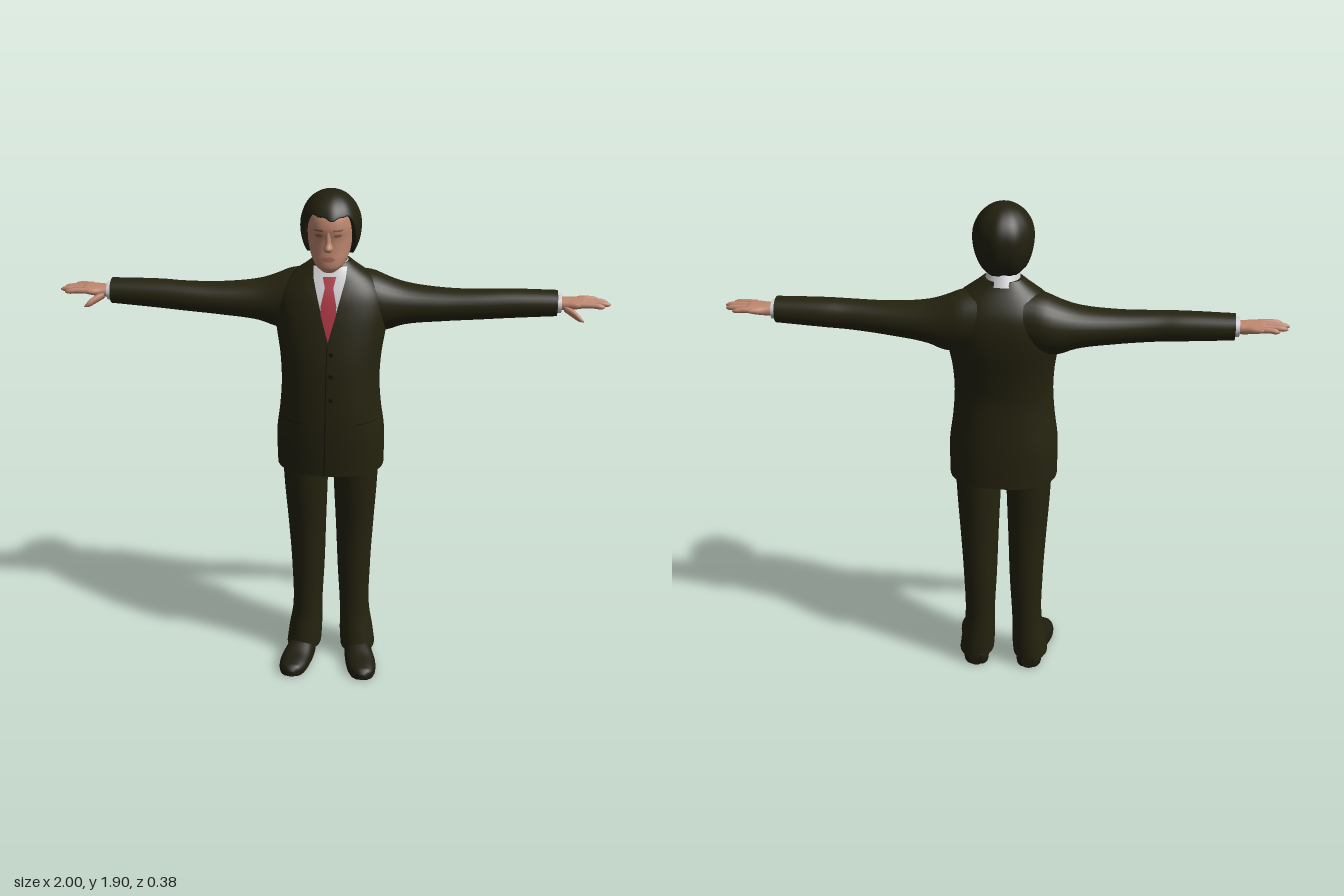
import * as THREE from 'three';

const mat = (name, color, side = THREE.FrontSide) => {
  const m = new THREE.MeshStandardMaterial({ color, side });
  m.name = name;
  return m;
};

// Smooth lookup in a table of rows [t, a, b, ra, rb]
function sampler(keys) {
  const size = keys[0].length - 1;
  const curve = new THREE.CubicInterpolant(
    new Float32Array(keys.map(k => k[0])), new Float32Array(keys.flatMap(k => k.slice(1))), size);
  return t => Array.from(curve.evaluate(t));
}

// Closed body of superellipse rings along an axis
function loft(axis, keys, { n = 2, rings = 24, sides = 28, caps = true } = {}) {
  const at = sampler(keys), t0 = keys[0][0], t1 = keys[keys.length - 1][0];
  const place = {
    y: (t, a, b) => [a, t, b],
    x: (t, a, b) => [t, b, a],
    z: (t, a, b) => [b, a, t],
  }[axis];
  const pos = [], idx = [];
  const pow = v => Math.sign(v) * Math.abs(v) ** (2 / n);
  const ring = i => {
    const t = t0 + (t1 - t0) * i / rings, [a, b, ra, rb] = at(t);
    for (let j = 0; j < sides; j++) {
      const q = j / sides * Math.PI * 2;
      pos.push(...place(t, a + ra * pow(Math.cos(q)), b + rb * pow(Math.sin(q))));
    }
    return [t, a, b];
  };
  for (let i = 0; i <= rings; i++) ring(i);
  for (let i = 0; i < rings; i++) for (let j = 0; j < sides; j++) {
    const k = (j + 1) % sides, p = i * sides, q = p + sides;
    idx.push(p + j, q + j, p + k, q + j, q + k, p + k);
  }
  if (caps) for (const i of [0, rings]) {
    const s = pos.length / 3, c = ring(i);
    pos.push(...place(...c));
    for (let j = 0; j < sides; j++) {
      const k = (j + 1) % sides;
      idx.push(s + sides, s + (i ? k : j), s + (i ? j : k));
    }
  }
  return build(pos, idx);
}

function build(pos, idx) {
  const g = new THREE.BufferGeometry();
  g.setAttribute('position', new THREE.Float32BufferAttribute(pos, 3));
  g.setIndex(idx);
  g.computeVertexNormals();
  return g;
}

// Thin plate laid on the front of a y loft; edges are rows [y, xLeft, xRight]
function patch(keys, n, edges, lift, rows = 16, cols = 8) {
  const at = sampler(keys), pos = [], idx = [];
  for (let i = 0; i <= rows; i++) {
    const f = i / rows * (edges.length - 1), e = Math.min(Math.floor(f), edges.length - 2);
    const [y, xl, xr] = edges[e].map((v, k) => THREE.MathUtils.lerp(v, edges[e + 1][k], f - e));
    const [a, b, ra, rb] = at(y);
    for (let j = 0; j <= cols; j++) {
      const x = THREE.MathUtils.lerp(xl, xr, j / cols);
      const u = Math.min(1, Math.abs((x - a) / ra));
      pos.push(x, y, b + rb * (1 - u ** n) ** (1 / n) + lift);
      if (i < rows && j < cols) {
        const p = i * (cols + 1) + j, q = p + cols + 1;
        idx.push(p, p + 1, q, p + 1, q + 1, q);
      }
    }
  }
  return build(pos, idx);
}

function mirrored(geo) {
  const g = geo.clone().scale(-1, 1, 1);
  const ix = g.index.array;
  for (let i = 0; i < ix.length; i += 3) [ix[i], ix[i + 1]] = [ix[i + 1], ix[i]];
  g.computeVertexNormals();
  return g;
}

const TORSO = [
  [0.86, 0, -0.028, 0.2, 0.152], [1.0, 0, -0.022, 0.2, 0.152], [1.1, 0, -0.018, 0.187, 0.148],
  [1.2, 0, -0.018, 0.18, 0.142], [1.3, 0, -0.028, 0.185, 0.142], [1.4, 0, -0.045, 0.2, 0.14],
  [1.48, 0, -0.056, 0.205, 0.131], [1.54, 0, -0.06, 0.19, 0.115], [1.59, 0, -0.058, 0.145, 0.088],
  [1.625, 0, -0.055, 0.095, 0.066], [1.645, 0, -0.055, 0.07, 0.056]];
const HEAD = [
  [1.635, 0, 0.05, 0.022, 0.025], [1.65, 0, 0.032, 0.045, 0.053], [1.68, 0, 0.012, 0.064, 0.075],
  [1.71, 0, -0.008, 0.074, 0.092], [1.75, 0, -0.017, 0.081, 0.1], [1.8, 0, -0.015, 0.083, 0.104],
  [1.85, 0, -0.02, 0.074, 0.088], [1.88, 0, -0.025, 0.045, 0.05]];

// Cap of hair, cut high over the face and low at the nape
function hairGeometry() {
  const pos = [], idx = [], rows = 24, cols = 64;
  for (let i = 0; i <= rows + 1; i++) for (let j = 0; j < cols; j++) {
    const phi = j / cols * Math.PI * 2, away = Math.min(phi, Math.PI * 2 - phi);
    const limit = 1.17 + 1.08 * THREE.MathUtils.smoothstep(away, 0.65, 1.45)
      + 0.18 * THREE.MathUtils.smoothstep(away, 1.5, 2.8) + 0.06 * Math.sin(5 * phi + 0.8) + 0.03 * Math.sin(13 * phi);
    const th = limit * Math.min(i, rows) / rows, k = i > rows ? 0.7 : 1;
    const c = Math.cos(th), s = Math.sin(th) * k * (1 + 0.012 * Math.sin(9 * phi) * Math.sin(th));
    pos.push(0.108 * s * Math.sin(phi), 1.785 + (c > 0 ? 0.12 : 0.155) * c, -0.03 + 0.126 * s * Math.cos(phi));
    if (i <= rows) {
      const p = i * cols + j, q = i * cols + (j + 1) % cols;
      idx.push(p, p + cols, q, q, p + cols, q + cols);
    }
  }
  return build(pos, idx);
}

export function createModel() {
  const model = new THREE.Group();
  model.name = 'suitedMan';
  const D = THREE.DoubleSide;
  const suit = mat('suit', 0x25230f, D), seam = mat('seam', 0x151408, D), shoe = mat('shoe', 0x1f1d0e);
  const hair = mat('hair', 0x22200f, D), skin = mat('skin', 0xc08870), shade = mat('eyes', 0x8a5c4a, D);
  const lip = mat('lips', 0xa8685a, D), white = mat('shirt', 0xd2d2d6, D), red = mat('tie', 0xae3644, D);
  const add = (name, geo, material) => {
    const m = new THREE.Mesh(geo, material);
    m.name = name;
    model.add(m);
    return m;
  };
  const pair = (name, geo, material) => {
    add('left' + name, geo, material);
    add('right' + name, mirrored(geo), material);
  };

  // Jacket, shirt front and tie
  add('jacket', loft('y', TORSO, { n: 2.3, rings: 44, sides: 48 }), suit);
  const plate = (edges, lift) => patch(TORSO, 2.3, edges, lift);
  add('shirtFront', plate([[1.385, 0, 0], [1.5, -0.031, 0.031], [1.6, -0.058, 0.058], [1.635, -0.06, 0.06]], 0.004), white);
  add('tie', plate([[1.385, 0, 0], [1.48, -0.027, 0.027], [1.51, -0.028, 0.028], [1.57, -0.015, 0.015],
    [1.605, -0.024, 0.024]], 0.009), red);
  pair('Lapel', plate([[1.37, 0, 0.008], [1.44, 0.016, 0.062], [1.51, 0.034, 0.09], [1.53, 0.04, 0.07],
    [1.59, 0.056, 0.085], [1.625, 0.06, 0.078]], 0.007), suit);
  add('frontSeam', plate([[0.865, -0.014, -0.01], [1.38, -0.005, -0.001]], 0.003), seam);
  pair('PocketFlap', plate([[1.075, 0.095, 0.178], [1.115, 0.095, 0.178]], 0.008), suit);
  pair('PocketSeam', plate([[1.072, 0.095, 0.178], [1.076, 0.095, 0.178]], 0.008), seam);
  for (const y of [1.17, 1.26, 1.34]) {
    const b = add('button', new THREE.CylinderGeometry(0.008, 0.008, 0.006, 12).rotateX(Math.PI / 2), seam);
    const [, zc, , rz] = sampler(TORSO)(y);
    b.position.set(0.012, y, zc + rz + 0.002);
  }

  // Sleeves, cuffs and hands
  pair('Sleeve', loft('x', [
    [0.08, -0.075, 1.5, 0.1, 0.105], [0.15, -0.08, 1.488, 0.1, 0.108], [0.2, -0.08, 1.477, 0.093, 0.098],
    [0.26, -0.078, 1.478, 0.084, 0.077], [0.4, -0.07, 1.48, 0.068, 0.06], [0.55, -0.065, 1.487, 0.057, 0.054],
    [0.62, -0.068, 1.491, 0.056, 0.053], [0.81, -0.071, 1.497, 0.051, 0.046]], { n: 2.1, rings: 36 }), suit);
  pair('Cuff', loft('x', [[0.79, -0.071, 1.497, 0.042, 0.036], [0.825, -0.071, 1.497, 0.04, 0.034]], { rings: 2 }), white);
  pair('Palm', loft('x', [
    [0.8, -0.07, 1.496, 0.03, 0.023], [0.845, -0.07, 1.497, 0.036, 0.021], [0.88, -0.071, 1.5, 0.046, 0.017],
    [0.91, -0.073, 1.503, 0.044, 0.012], [0.92, -0.073, 1.503, 0.036, 0.006]], { n: 2.3 }), skin);
  [[-0.036, -0.03, 0.978], [-0.06, -0.058, 1], [-0.084, -0.085, 0.992], [-0.106, -0.112, 0.962]].forEach(([z0, z1, tip], i) => {
    const mid = (0.89 + tip) / 2;
    pair('Finger' + (i + 1), loft('x', [
      [0.89, z0, 1.503, 0.011, 0.011], [mid, (z0 + z1) / 2, 1.504, 0.01, 0.01],
      [tip - 0.01, z1, 1.501, 0.008, 0.008], [tip, z1, 1.5, 0.002, 0.002]], { rings: 12, sides: 12 }), skin);
  });
  pair('Thumb', loft('x', [
    [0.835, -0.05, 1.488, 0.016, 0.014], [0.865, -0.03, 1.474, 0.015, 0.015],
    [0.89, -0.014, 1.46, 0.011, 0.011], [0.904, -0.008, 1.452, 0.002, 0.002]], { rings: 12, sides: 14 }), skin);

  // Trousers and shoes
  pair('TrouserLeg', loft('y', [
    [0.04, 0.108, -0.028, 0.068, 0.087], [0.1, 0.102, -0.033, 0.066, 0.083], [0.2, 0.094, -0.04, 0.058, 0.076],
    [0.4, 0.09, -0.044, 0.064, 0.083], [0.6, 0.092, -0.038, 0.073, 0.092], [0.75, 0.094, -0.03, 0.081, 0.106],
    [0.92, 0.095, -0.025, 0.088, 0.118]], { n: 2.2, rings: 36 }), suit);
  const shoeGeo = loft('z', [
    [-0.113, 0.03, 0.105, 0.03, 0.025], [-0.1, 0.03, 0.105, 0.045, 0.042], [-0.04, 0.03, 0.108, 0.055, 0.048],
    [0.03, 0.025, 0.115, 0.055, 0.055], [0.1, 0.018, 0.13, 0.04, 0.059], [0.16, 0.015, 0.138, 0.032, 0.048],
    [0.182, 0.015, 0.14, 0.026, 0.032], [0.193, 0.015, 0.141, 0.012, 0.012]], { n: 2.4, rings: 36 });
  const sp = shoeGeo.attributes.position;
  for (let i = 0; i < sp.count; i++) sp.setY(i, Math.max(0, sp.getY(i)));
  shoeGeo.computeVertexNormals();
  pair('Shoe', shoeGeo, shoe);

  // Neck and collar
  add('neck', loft('y', [[1.56, 0, -0.055, 0.056, 0.055], [1.62, 0, -0.052, 0.054, 0.052],
    [1.72, 0, -0.045, 0.058, 0.058]]), skin);
  const collar = add('collar', new THREE.CylinderGeometry(0.059, 0.069, 0.05, 32, 1, true), white);
  collar.position.set(0, 1.632, -0.05);
  collar.rotation.x = 0.3;

  // Head and face
  add('head', loft('y', HEAD, { n: 2.2, rings: 36, sides: 36 }), skin);
  add('nose', loft('y', [[1.712, 0, 0.08, 0.01, 0.01], [1.722, 0, 0.083, 0.017, 0.023],
    [1.745, 0, 0.079, 0.011, 0.019], [1.785, 0, 0.078, 0.009, 0.011]], { rings: 14, sides: 16 }), skin);
  const face = (edges, lift) => patch(HEAD, 2.2, edges, lift, 6, 8);
  add('lips', face([[1.679, -0.012, 0.012], [1.687, -0.026, 0.026], [1.695, -0.014, 0.014]], 0.003), lip);
  pair('Eye', face([[1.765, 0.025, 0.04], [1.77, 0.018, 0.048], [1.776, 0.024, 0.042]], 0.002), shade);
  pair('Brow', face([[1.787, 0.016, 0.05], [1.793, 0.018, 0.052]], 0.003), shade);
  pair('Ear', new THREE.SphereGeometry(1, 14, 10).scale(0.012, 0.03, 0.02).translate(0.084, 1.735, -0.01), skin);
  add('hair', hairGeometry(), hair);
  return model;
}
